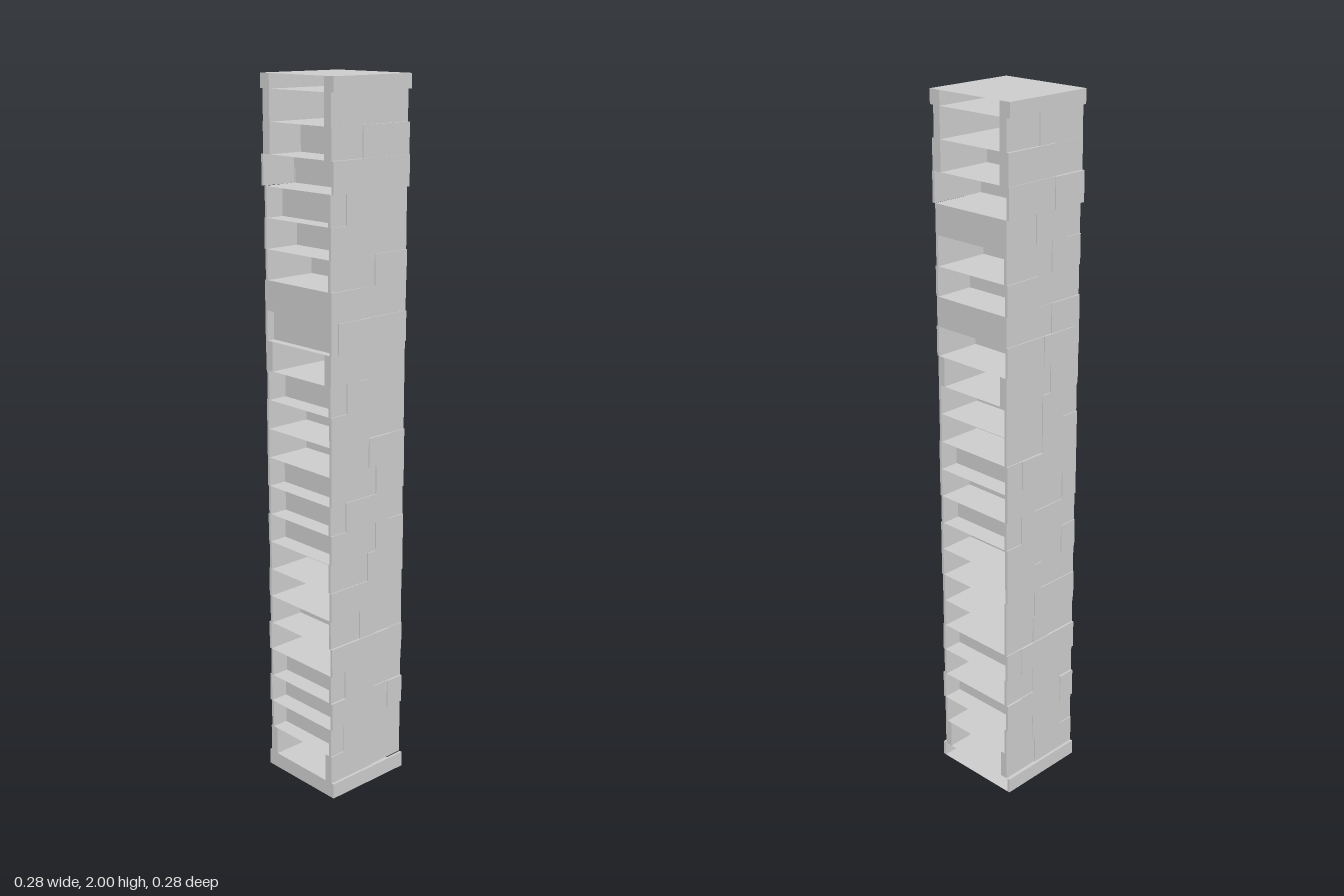
import * as THREE from 'three';

const X0 = -0.138, X1 = 0.137;      // tower sides
const BASE = 0.045, COURSE = 0.0833; // base height, height of a course
const CORE = 0.128;                  // half depth of the shelves and cross walls

// Joints between stones of every course, from the bottom up
const JOINTS = [
  [0.02], [-0.09, 0.03], [-0.085, 0.08], [-0.085, 0.03], [0.08], [-0.03, 0.03],
  [0.025], [0], [-0.083, 0.03], [-0.083, 0.08], [-0.083, 0.03], [0, 0.08],
  [0], [-0.08, 0], [-0.03], [-0.115, 0], [-0.03], [0.02],
  [-0.03], [-0.083, 0.03], [-0.03], [-0.03], [0.02],
];
const OPEN = [0, 14, 22];            // courses one can see right through
const THICK = [0, 14, 21, 22];       // courses with thick walls
const CLOSED_LEFT = [16, 19];        // courses with an end wall at +x
const CLOSED_RIGHT = [16];           // courses with an end wall at -x
const DEPTH = { 2: 0.134, 4: 0.134, 7: 0.131, 11: 0.134, 15: 0.135, 16: 0.132, 20: 0.14, 21: 0.135 };

export function createModel() {
  const model = new THREE.Group();
  model.name = 'stoneTower';
  const mat = new THREE.MeshStandardMaterial({ color: 0xcccccc, flatShading: true, side: THREE.DoubleSide });

  // Box given by its limits
  const box = (parent, name, x0, x1, y0, y1, z0, z1) => {
    const mesh = new THREE.Mesh(new THREE.BoxGeometry(x1 - x0, y1 - y0, z1 - z0), mat);
    mesh.position.set((x0 + x1) / 2, (y0 + y1) / 2, (z0 + z1) / 2);
    mesh.name = name;
    parent.add(mesh);
  };
  // Thin horizontal sheet
  const shelf = (parent, name, y, half) => {
    const mesh = new THREE.Mesh(new THREE.PlaneGeometry(X1 - X0, half * 2).rotateX(-Math.PI / 2), mat);
    mesh.position.set((X0 + X1) / 2, y, 0);
    mesh.name = name;
    parent.add(mesh);
  };
  // Thin upright sheet across the tower
  const crossWall = (parent, name, x, y0, y1, half) => {
    const mesh = new THREE.Mesh(new THREE.PlaneGeometry(half * 2, y1 - y0).rotateY(Math.PI / 2), mat);
    mesh.position.set(x, (y0 + y1) / 2, 0);
    mesh.name = name;
    parent.add(mesh);
  };

  // Base slab, open towards +x
  const base = new THREE.Group();
  base.name = 'baseSlab';
  shelf(base, 'baseBottom', 0, 0.139);
  crossWall(base, 'baseEnd', X0, 0, BASE, 0.139);
  box(base, 'baseFront', X0, X1, 0, BASE, 0.131, 0.139);
  box(base, 'baseBack', X0, X1, 0, BASE, -0.139, -0.131);
  model.add(base);

  // Courses of stones in the front and back walls
  JOINTS.forEach((joints, i) => {
    const course = new THREE.Group();
    course.name = `course${i + 1}`;
    const y0 = BASE + i * COURSE, y1 = y0 + COURSE;
    const edges = [X0, ...joints, X1];
    const thick = THICK.includes(i);
    for (let k = 0; k < edges.length - 1; k++) {
      for (const s of [1, -1]) {
        // Neighbouring stones stand out by slightly different amounts
        const outer = (DEPTH[i] ?? 0.131) - ((k + i) % 2) * 0.003;
        const inner = thick ? 0.105 : outer - 0.008;
        const [z0, z1] = s > 0 ? [inner, outer] : [-outer, -inner];
        box(course, s > 0 ? 'frontStone' : 'backStone', edges[k], edges[k + 1], y0, y1, z0, z1);
      }
    }
    // Cross walls at the joints and at the closed ends
    if (!OPEN.includes(i)) joints.forEach((x) => crossWall(course, 'crossWall', x, y0, y1, CORE));
    if (CLOSED_LEFT.includes(i)) crossWall(course, 'leftEnd', X1, y0, y1, CORE);
    if (CLOSED_RIGHT.includes(i)) crossWall(course, 'rightEnd', X0, y0, y1, CORE);
    shelf(course, 'shelf', y0, CORE);
    model.add(course);
  });

  // Top slab: a sheet with thick front and back rims
  const top = new THREE.Group();
  top.name = 'topSlab';
  const yTop = BASE + JOINTS.length * COURSE;
  shelf(top, 'topSlabUnderside', yTop, CORE);
  shelf(top, 'topSurface', 2, 0.14);
  box(top, 'topFrontRim', X0, X1, yTop, 2, 0.105, 0.14);
  box(top, 'topBackRim', X0, X1, yTop, 2, -0.14, -0.105);
  model.add(top);

  return model;
}
